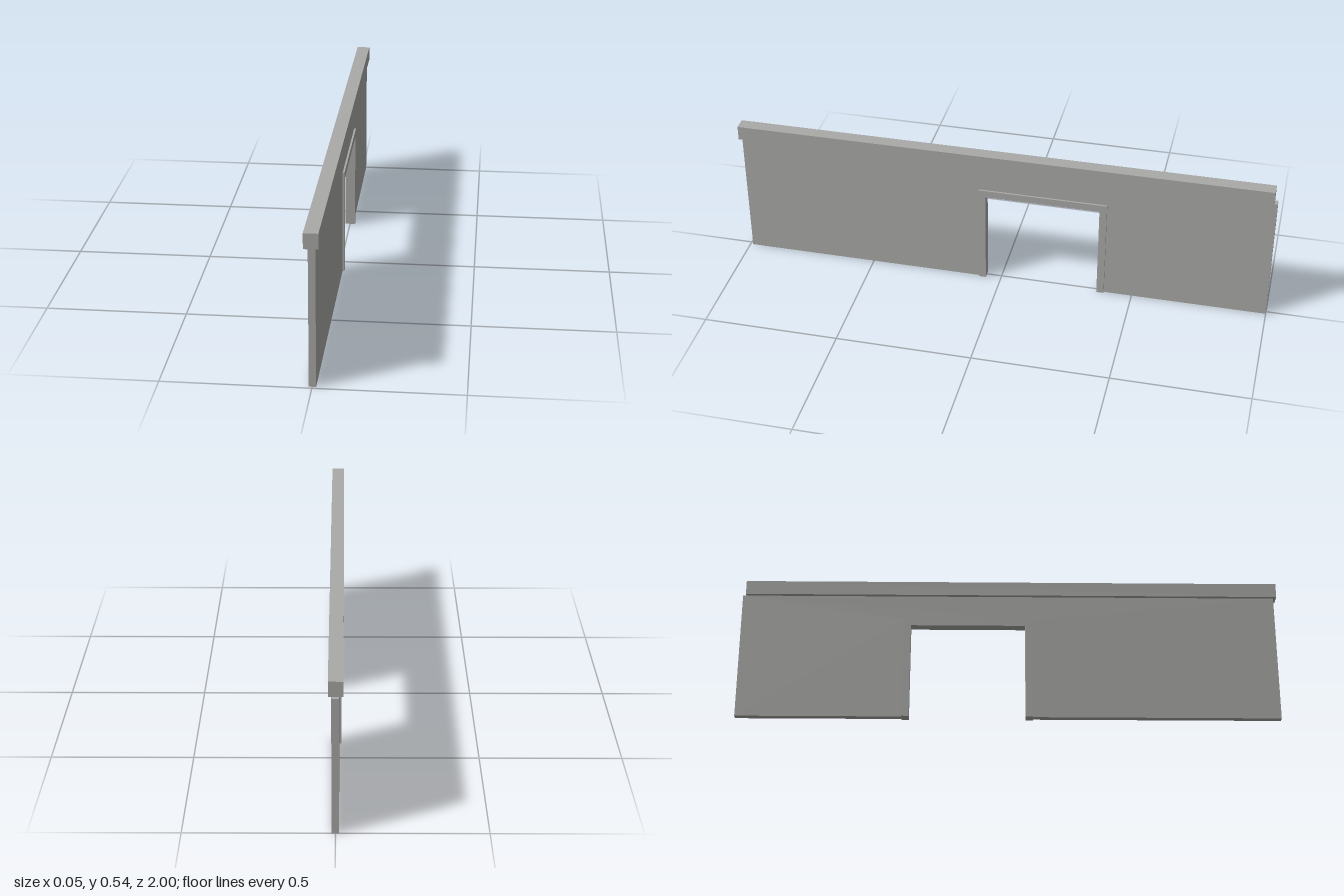
import * as THREE from 'three';

// Extrudes an outline drawn as [z, y] points across x from x0 to x1
function slab(name, points, x0, x1, material) {
  const shape = new THREE.Shape(points.map(([z, y]) => new THREE.Vector2(-z, y)));
  const geometry = new THREE.ExtrudeGeometry(shape, { depth: x1 - x0, bevelEnabled: false });
  geometry.rotateY(Math.PI / 2).translate(x0, 0, 0);
  const mesh = new THREE.Mesh(geometry, material);
  mesh.name = name;
  return mesh;
}

export function createModel() {
  const group = new THREE.Group();
  group.name = 'wallWithDoorway';
  const plaster = new THREE.MeshStandardMaterial({ color: 0xaaaaa7 });
  plaster.name = 'warm grey plaster';

  // Doorway opening and the width of its surround
  const front = 0.057, back = -0.368, top = 0.365, trim = 0.027;
  const outerFront = front + trim, outerBack = back - trim, outerTop = top + trim;

  // Thin wall, cut out where the surround sits
  group.add(slab('wall', [
    [0.99, 0], [outerFront, 0], [outerFront, outerTop], [outerBack, outerTop],
    [outerBack, 0], [-1, 0], [-1, 0.488], [0.99, 0.488],
  ], -0.011, 0.013, plaster));

  // Door surround, standing proud on both sides
  group.add(slab('doorFrame', [
    [outerFront, 0], [front, 0], [front, top], [back, top],
    [back, 0], [outerBack, 0], [outerBack, outerTop], [outerFront, outerTop],
  ], -0.018, 0.02, plaster));

  // Coping beam along the top, set slightly towards the front
  group.add(slab('topBeam', [
    [1, 0.488], [-0.988, 0.488], [-0.988, 0.542], [1, 0.542],
  ], -0.025, 0.024, plaster));

  return group;
}
